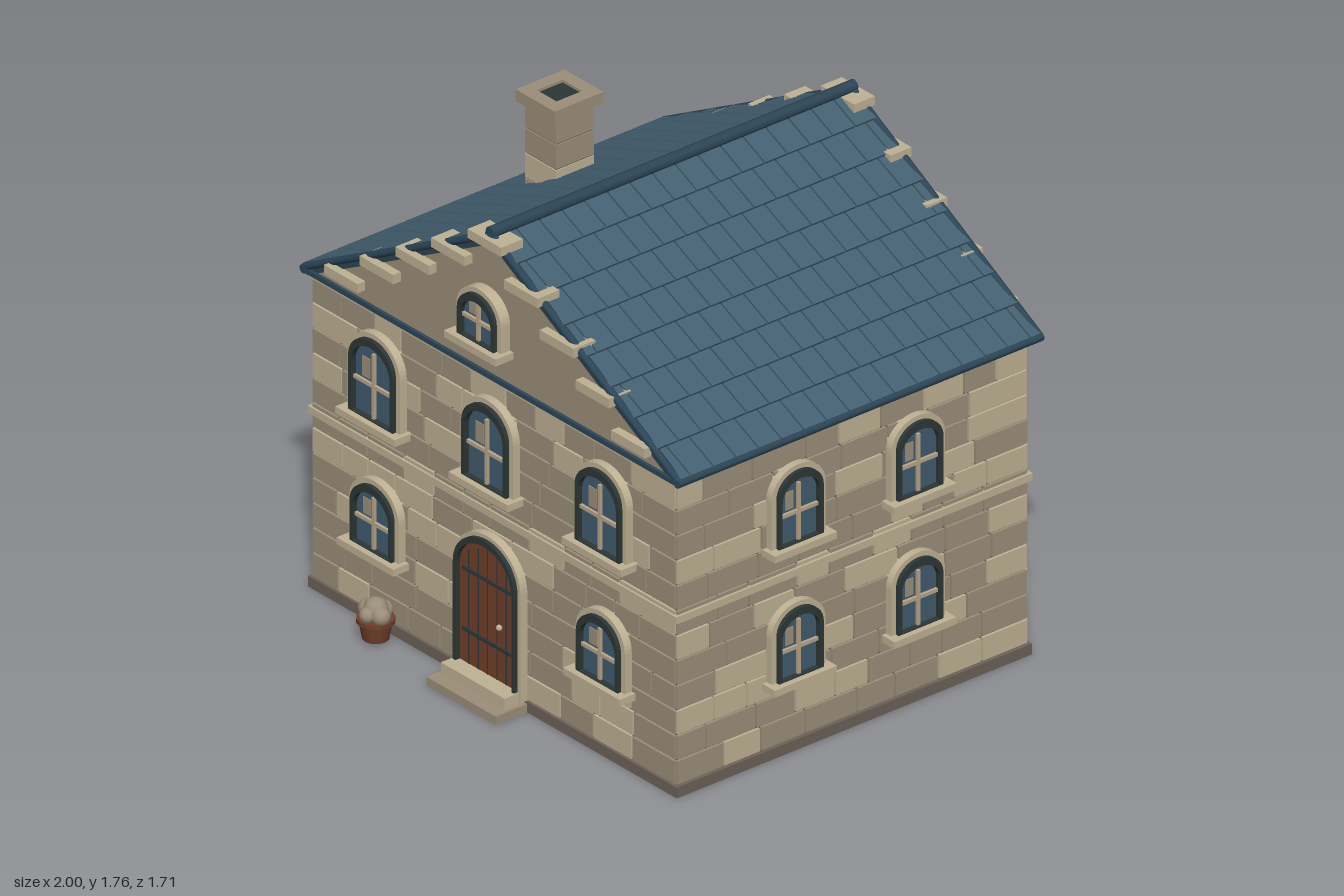
import * as THREE from 'three';
import { mergeGeometries } from 'three/addons/utils/BufferGeometryUtils.js';

const mat = (name, color) => Object.assign(new THREE.MeshStandardMaterial({ color }), { name });

export function createModel() {
  const M = {
    stone: mat('tan stone', 0x9c8f7a),
    light: mat('light stone', 0xbfb294),
    mortar: mat('mortar', 0x6c6258),
    roof: mat('slate blue', 0x446071),
    trim: mat('dark slate trim', 0x2c4657),
    groove: mat('roof joint', 0x2f4450),
    glass: mat('window glass', 0x415c6f),
    dark: mat('dark frame', 0x2c3636),
    wood: mat('door wood', 0x713f2b),
    bar: mat('glazing bar', 0xb8a588),
  };
  const house = new THREE.Group();
  house.name = 'house';

  let seed = 7;
  const rand = () => (seed = (seed * 16807) % 2147483647) / 2147483647;
  const box = (w, h, d, x = 0, y = 0, z = 0, rz = 0) =>
    new THREE.BoxGeometry(w, h, d).rotateZ(rz).translate(x, y, z);
  // box given by its limits
  const span = (x0, x1, y0, y1, z0, z1) =>
    box(x1 - x0, y1 - y0, z1 - z0, (x0 + x1) / 2, (y0 + y1) / 2, (z0 + z1) / 2);
  const add = (parent, name, geo, material) => {
    const mesh = new THREE.Mesh(Array.isArray(geo) ? mergeGeometries(geo) : geo, material);
    mesh.name = name;
    parent.add(mesh);
    return mesh;
  };
  const group = (name, parent = house) => {
    const g = new THREE.Group();
    g.name = name;
    parent.add(g);
    return g;
  };
  const ZC = -0.045; // middle of the walls in z

  // Wall core, plinth, belt and cornice
  add(house, 'wallCore', span(-0.925, 0.925, 0.03, 1.185, -0.79, 0.705), M.mortar);
  add(house, 'plinth', span(-0.945, 0.945, 0, 0.04, -0.81, 0.72), M.mortar);
  add(house, 'beltCourse', span(-0.945, 0.945, 0.655, 0.682, -0.812, 0.722), M.light);
  add(house, 'cornice', span(-0.94, 0.94, 1.165, 1.187, -0.806, 0.718), M.light);

  // Coursed stone blocks on the four walls
  const rows = 12, rowH = 1.128 / rows, gap = 0.008;
  const blocks = { stone: [], light: [] };
  function stoneWall(length, dist, angle) {
    for (let r = 0; r < rows; r++) {
      const y = 0.04 + rowH * (r + 0.5);
      let u = -length / 2, first = true;
      while (u < length / 2 - 0.01) {
        let w = 0.13 + rand() * 0.1;
        if (first && r % 2) w *= 0.75;
        if (length / 2 - u - w < 0.09) w = length / 2 - u;
        const g = box(w - (first ? gap / 2 : gap), rowH - gap, 0.02, u + w / 2, y, dist - 0.01);
        blocks[rand() < 0.33 ? 'light' : 'stone'].push(g.rotateY(angle).translate(0, 0, ZC));
        u += w;
        first = false;
      }
    }
  }
  stoneWall(1.862, 0.759, 0);
  stoneWall(1.862, 0.759, Math.PI);
  stoneWall(1.51, 0.935, Math.PI / 2);
  stoneWall(1.51, 0.935, -Math.PI / 2);
  add(house, 'tanBlocks', blocks.stone, M.stone);
  add(house, 'lightBlocks', blocks.light, M.light);

  // Arched outlines for the openings
  function arch(hw, y0, top, Type = THREE.Shape) {
    const s = new Type(), ry = hw * 0.88;
    s.moveTo(-hw, y0);
    s.lineTo(hw, y0);
    s.lineTo(hw, top - ry);
    s.absellipse(0, top - ry, hw, ry, 0, Math.PI, false, 0);
    s.lineTo(-hw, y0);
    return s;
  }
  const extrude = (shape, z0, z1) => new THREE.ExtrudeGeometry(shape,
    { depth: z1 - z0, bevelEnabled: false, curveSegments: 12 }).translate(0, 0, z0);
  function archRing(outer, inner, z0, z1) {
    const s = arch(...outer);
    s.holes.push(arch(...inner, THREE.Path));
    return extrude(s, z0, z1);
  }

  // One arched window; local z points out of the wall
  function addWindow(x, y, z, angle, hw, y0, top) {
    const g = group('window');
    g.position.set(x, y, z);
    g.rotation.y = angle;
    add(g, 'surround', archRing([hw + 0.022, y0 - 0.01, top + 0.02], [hw, y0, top], -0.01, 0.03), M.light);
    add(g, 'darkFrame', archRing([hw + 0.002, y0 - 0.004, top + 0.002],
      [hw - 0.013, y0 + 0.004, top - 0.026], -0.005, 0.045), M.dark);
    add(g, 'glass', extrude(arch(hw - 0.008, y0, top - 0.018), 0, 0.024), M.glass);
    const h = top - y0, mid = y0 + h * 0.42;
    add(g, 'glazingBars', [
      box(0.013, h * 0.82, 0.012, 0, y0 + h * 0.41, 0.029),
      box(hw * 2 - 0.026, 0.013, 0.012, 0, mid, 0.029)], M.bar);
    add(g, 'panePlate', span(-hw * 0.56, -hw * 0.2, mid + 0.015, mid + 0.015 + h * 0.25, 0.022, 0.027), M.stone);
    add(g, 'sill', span(-hw - 0.04, hw + 0.04, y0 - 0.026, y0, -0.01, 0.068), M.light);
  }
  const front = 0.714;
  for (const x of [-0.58, 0, 0.58]) addWindow(x, 0, front, 0, 0.112, 0.79, 1.09);
  for (const x of [-0.58, 0.58]) addWindow(x, 0, front, 0, 0.105, 0.3, 0.54);
  addWindow(0, 0, 0.75, 0, 0.092, 1.343, 1.52);
  for (const side of [-1, 1]) for (const z of [0.21, -0.305]) {
    addWindow(side * 0.932, 0, z, side * Math.PI / 2, 0.094, 0.8, 1.066);
    addWindow(side * 0.932, 0, z, side * Math.PI / 2, 0.094, 0.295, 0.55);
  }

  // Front door with planks, straps, knob and steps
  const door = group('door');
  door.position.z = front;
  add(door, 'doorSurround', archRing([0.172, 0.04, 0.598], [0.155, 0.05, 0.582], -0.01, 0.03), M.light);
  add(door, 'doorFrame', archRing([0.157, 0.045, 0.584], [0.143, 0.052, 0.562], -0.005, 0.045), M.dark);
  add(door, 'doorLeaf', extrude(arch(0.147, 0.05, 0.568), 0, 0.026), M.wood);
  add(door, 'plankJoints', [-2, -1, 0, 1, 2].map(i =>
    span(i * 0.048 - 0.002, i * 0.048 + 0.002, 0.07, 0.55 - Math.abs(i) * 0.022, 0.02, 0.028)), M.dark);
  add(door, 'doorStraps', [0.2, 0.43].map(y => box(0.25, 0.012, 0.012, 0, y, 0.027)), M.dark);
  add(door, 'doorKnob', new THREE.SphereGeometry(0.011, 10, 8).translate(0.075, 0.287, 0.04), M.light);
  add(house, 'lowerStep', span(-0.178, 0.178, 0, 0.032, 0.7, 0.855), M.stone);
  add(house, 'upperStep', span(-0.163, 0.163, 0.032, 0.075, 0.7, 0.805), M.light);

  // Gable walls under the roof
  const tri = new THREE.Shape([[-0.93, 1.18], [0.93, 1.18], [0, 1.7]].map(p => new THREE.Vector2(...p)));
  add(house, 'gables', extrude(tri, -0.815, 0.722), M.stone);

  // Roof slopes: slab, overlapping tiles and edge trims, made once and turned
  const roof = group('roof');
  roof.position.set(0, 1.722, -0.053);
  const angle = Math.atan2(0.525, 0.96), slopeLen = 1.094, roofLen = 1.56;
  const tileRows = 8, cols = 16, tl = slopeLen / tileRows, tw = roofLen / cols;
  const tiles = [];
  for (let r = 0; r < tileRows; r++) {
    const shift = r % 2 ? tw / 2 : 0;
    for (let c = 0; c <= cols; c++) {
      const a = Math.max(-roofLen / 2, -roofLen / 2 + c * tw - shift);
      const b = Math.min(roofLen / 2, -roofLen / 2 + (c + 1) * tw - shift);
      if (b - a > 0.01) tiles.push(box(tl, 0.014, b - a - 0.006, (r + 0.5) * tl, 0.004, (a + b) / 2, 0.07));
    }
  }
  for (const turn of [0, Math.PI]) {
    const half = group('roofSlope', roof);
    half.rotation.y = turn;
    const slope = group('slope', half);
    slope.rotation.z = -angle;
    add(slope, 'roofSlab', span(0, slopeLen, -0.028, 0, -0.778, 0.778), M.groove);
    add(slope, 'roofTiles', tiles.map(t => t.clone()), M.roof);
    const rake = z => new THREE.CylinderGeometry(0.014, 0.014, slopeLen, 8)
      .rotateZ(Math.PI / 2).translate(slopeLen / 2, 0.002, z);
    add(slope, 'rakeTrim', [rake(-0.775), rake(0.775)], M.trim);
    add(slope, 'eaveTrim', new THREE.CylinderGeometry(0.017, 0.017, roofLen + 0.01, 8)
      .rotateX(Math.PI / 2).translate(slopeLen, -0.004, 0), M.trim);
    add(half, 'gableBaseTrim', box(1.93, 0.018, 0.025, 0, -0.528, 0.775), M.trim);
  }
  add(roof, 'ridgeCap', new THREE.CylinderGeometry(0.022, 0.022, 1.57, 8)
    .rotateX(Math.PI / 2).translate(0, 0.012, 0), M.trim);

  // Stepped stones along both gable edges
  const steps = [];
  for (const [z0, z1] of [[0.66, 0.755], [-0.855, -0.765]]) {
    steps.push(span(-0.085, 0.085, 1.688, 1.722, z0, z1));
    for (let i = 0; i < 4; i++) for (const s of [-1, 1]) {
      steps.push(box(0.172, 0.035, z1 - z0, s * (0.187 + i * 0.183), 1.592 - i * 0.1115, (z0 + z1) / 2));
    }
  }
  add(house, 'gableStones', steps, M.light);

  // Chimney in stone courses with an open cap
  const chimney = group('chimney');
  chimney.position.set(-0.65, 0, -0.115);
  for (let i = 0; i < 4; i++) {
    const y = 1.648 - (i + 0.5) * 0.095;
    add(chimney, 'chimneyCourse', box(0.158, 0.089, 0.165, 0, y), i === 2 ? M.light : M.stone);
  }
  add(chimney, 'chimneyCore', span(-0.075, 0.075, 1.3, 1.65, -0.078, 0.078), M.mortar);
  add(chimney, 'chimneyCap', [
    span(-0.1, -0.05, 1.65, 1.695, -0.105, 0.105), span(0.05, 0.1, 1.65, 1.695, -0.105, 0.105),
    span(-0.05, 0.05, 1.65, 1.695, -0.105, -0.055), span(-0.05, 0.05, 1.65, 1.695, 0.055, 0.105)], M.stone);
  add(chimney, 'flue', span(-0.052, 0.052, 1.64, 1.685, -0.057, 0.057), M.dark);

  // Potted shrub beside the door
  const planter = group('planter');
  planter.position.set(-0.52, 0, 0.785);
  add(planter, 'pot', new THREE.CylinderGeometry(0.06, 0.046, 0.075, 12).translate(0, 0.0475, 0), M.wood);
  add(planter, 'potRim', new THREE.CylinderGeometry(0.066, 0.066, 0.016, 12).translate(0, 0.08, 0), M.wood);
  const leaves = [[0, 0.118, 0, 0.045], [-0.035, 0.11, 0.005, 0.034], [0.036, 0.108, 0.008, 0.034],
    [0, 0.108, 0.035, 0.03], [0.005, 0.11, -0.032, 0.032]];
  add(planter, 'shrub', leaves.map(([x, y, z, r]) =>
    new THREE.IcosahedronGeometry(r, 1).translate(x, y, z)), M.stone);

  return house;
}
